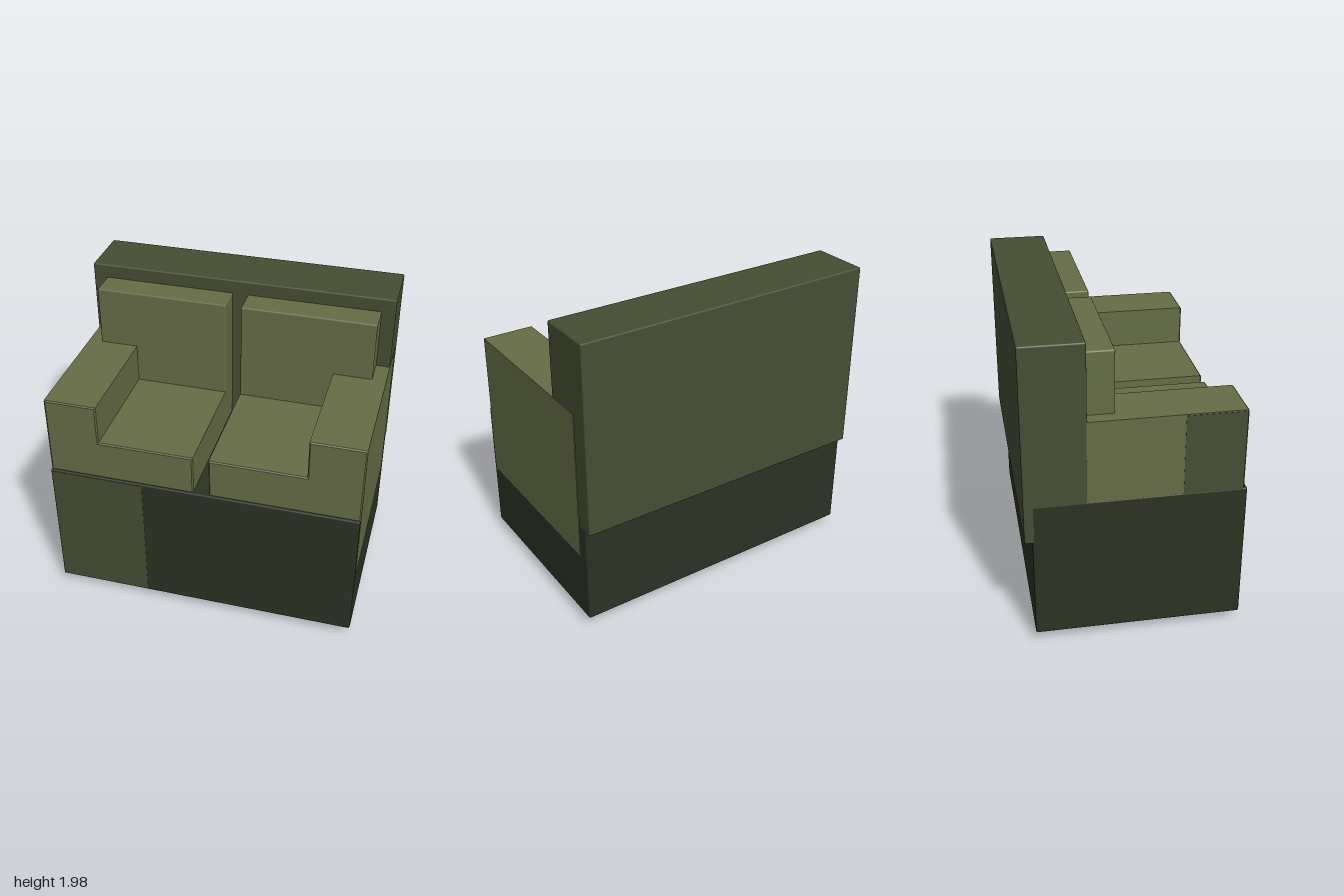
import * as THREE from 'three';
import { RoundedBoxGeometry } from 'three/addons/geometries/RoundedBoxGeometry.js';

function material(name, color) {
  const m = new THREE.MeshStandardMaterial({ color });
  m.name = name;
  return m;
}

export function createModel() {
  const group = new THREE.Group();
  const olive = material('olive cushion', 0x656d45);
  const moss = material('moss back', 0x454d34);
  const dark = material('dark green base', 0x2c3223);
  const wood = material('wood', 0x9e7b46);

  const add = (name, geometry, mat) => {
    const mesh = new THREE.Mesh(geometry, mat);
    mesh.name = name;
    group.add(mesh);
    return mesh;
  };
  // Box given by its extents, with softened edges when bevel > 0
  const box = (name, [x0, x1], [y0, y1], [z0, z1], mat, bevel = 0.01) => {
    const size = [x1 - x0, y1 - y0, z1 - z0];
    const geometry = bevel
      ? new RoundedBoxGeometry(...size, 2, bevel)
      : new THREE.BoxGeometry(...size);
    add(name, geometry, mat).position.set((x0 + x1) / 2, (y0 + y1) / 2, (z0 + z1) / 2);
  };

  // Base and backrest
  box('base', [-0.998, 0.998], [0.07, 0.98], [-0.62, 0.668], dark);
  box('backrest', [-0.998, 0.998], [0.73, 1.98], [-0.668, -0.29], moss);

  // Seat cushion and armrest share one L-shaped section, swept front to back
  const bevel = 0.008;
  const seatAndArm = (name, side, outer) => {
    const points = [[0.05, 0.51], [outer, 0.51], [outer, 1.5], [0.66, 1.5], [0.66, 1.24], [0.05, 1.24]];
    const shape = new THREE.Shape(points.map(([x, y]) => new THREE.Vector2(side * x, y)));
    const geometry = new THREE.ExtrudeGeometry(shape, {
      depth: 1.2 - 2 * bevel, bevelEnabled: true, bevelSegments: 1,
      bevelThickness: bevel, bevelSize: bevel, bevelOffset: -bevel,
    });
    add(name, geometry, olive).position.z = -0.55 + bevel;
  };
  seatAndArm('leftSeatAndArm', 1, 1.0);
  seatAndArm('rightSeatAndArm', -1, 0.996);

  // Back cushions and front feet
  for (const [label, s] of [['left', 1], ['right', -1]]) {
    const span = (a, b) => (s > 0 ? [a, b] : [-b, -a]);
    box(label + 'BackCushion', span(0.05, 0.91), [1.2, 1.89], [-0.32, -0.115], olive);
    box(label + 'Foot', span(0.5, 0.715), [0, 0.08], [0.2, 0.415], wood, 0);
  }

  // Flat moss panels on the front of the base and the outside of the right arm
  box('frontPanel', [-0.988, -0.385], [0.08, 0.97], [0.664, 0.67], moss, 0);
  box('armPanel', [-0.998, -0.992], [0.975, 1.492], [0.28, 0.642], moss, 0);

  return group;
}
